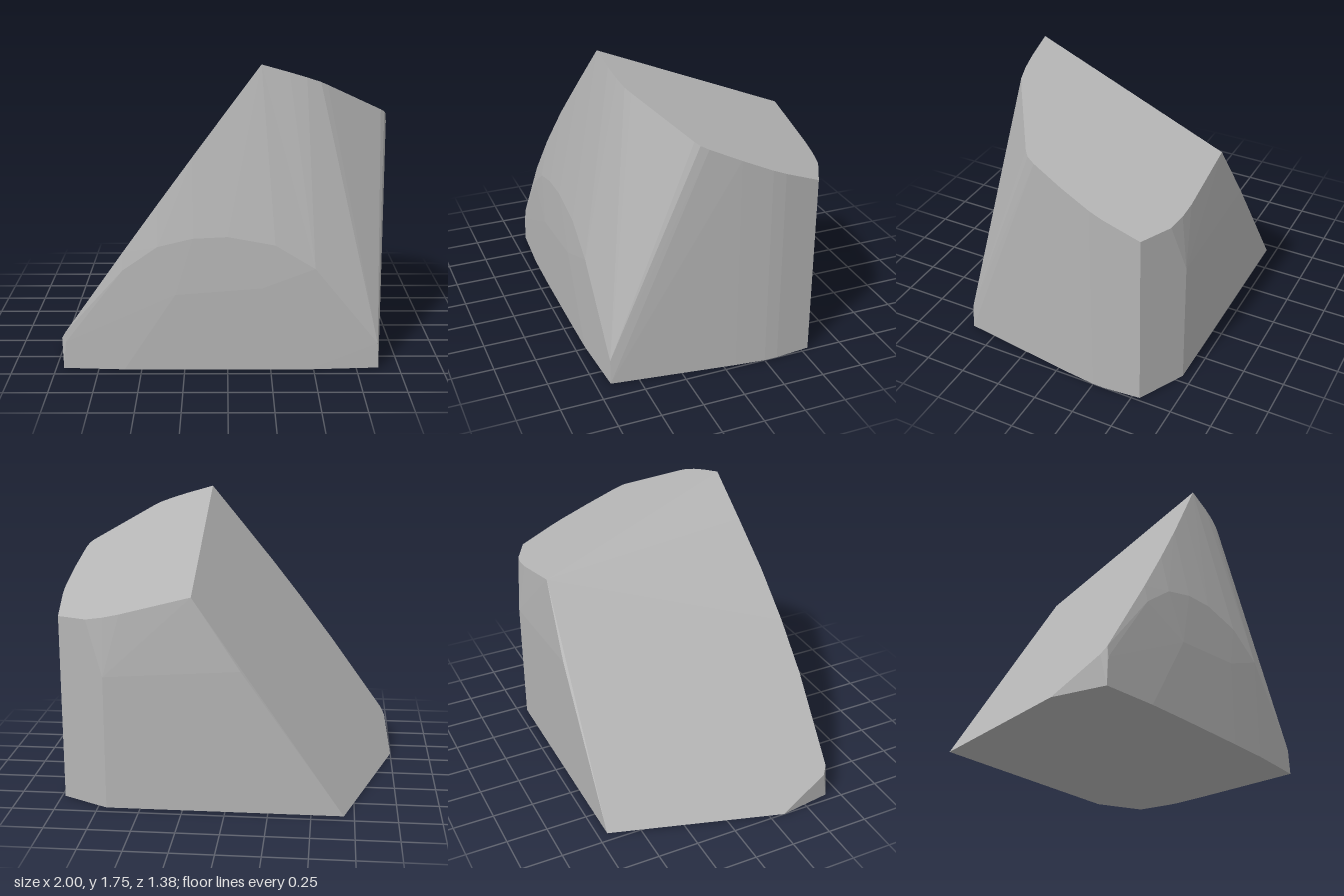
import * as THREE from 'three';
import { ConvexGeometry } from 'three/addons/geometries/ConvexGeometry.js';

// Heights of the two big cut planes at a plan position
const leftCut = (x, z) => (1.8025 * (x + 1) + 0.5425 * (z - 0.34)) / 1.266;
const topCut = (x, z) => 1.75 - 0.421 * (0.47 - z) - 0.26 * (x - 0.19);

export function createModel() {
  const group = new THREE.Group();
  group.name = 'rock';
  const stone = new THREE.MeshStandardMaterial({ color: 0xb4b4b4 });
  stone.name = 'stoneGrey';
  stone.flatShading = true;

  const points = [];
  const add = (x, y, z) => points.push(new THREE.Vector3(x, y, z));

  // Outline of the flat base, as x, z
  [[-1, 0.34], [-0.955, 0.665], [-0.6, 0.688], [-0.3, 0.692], [0.2, 0.692], [0.48, 0.69], [0.88, 0.665],
    [0.96, 0.05], [0.98, -0.07], [1, -0.25], [1, -0.33], [0.98, -0.545], [0.8, -0.64], [0.7, -0.692], [-0.69, -0.692],
  ].forEach(([x, z]) => add(x, 0, z));

  // Front rim of the sloping left cut
  [[-0.965, 0.63], [-0.94, 0.656], [-0.6, 0.645], [-0.4, 0.62], [-0.2, 0.58], [0, 0.525]]
    .forEach(([x, z]) => add(x, leftCut(x, z), z));

  // Rim of the tilted top, starting and ending on the ridge
  [[0.19, 0.47], [0.35, 0.46], [0.45, 0.448], [0.53, 0.43], [0.57, 0.407], [0.91, 0.18], [0.935, 0.155], [0.95, 0.11],
    [0.96, 0.05], [0.98, -0.07], [1, -0.25], [1, -0.33], [0.98, -0.545], [0.8, -0.64], [0.7, -0.66],
    [0.6, -0.668], [0.19, -0.668],
  ].forEach(([x, z]) => add(x, topCut(x, z), z));

  // Worn bulge low on the front face
  [[-0.6, 0.6, 0.664], [-0.4, 0.74, 0.668], [-0.2, 0.79, 0.671], [0, 0.8, 0.672], [0.27, 0.75, 0.673],
    [0.5, 0.61, 0.675], [-0.3, 0.46, 0.69], [0.2, 0.5, 0.69], [-0.94, 0.16, 0.662], [0.872, 0.15, 0.663],
  ].forEach((p) => add(...p));

  // Crease across the back face
  add(-0.09, leftCut(-0.09, -0.692), -0.692);
  add(0.7, 0.8, -0.692);

  const body = new THREE.Mesh(new ConvexGeometry(points), stone);
  body.name = 'rockBody';
  group.add(body);
  return group;
}
